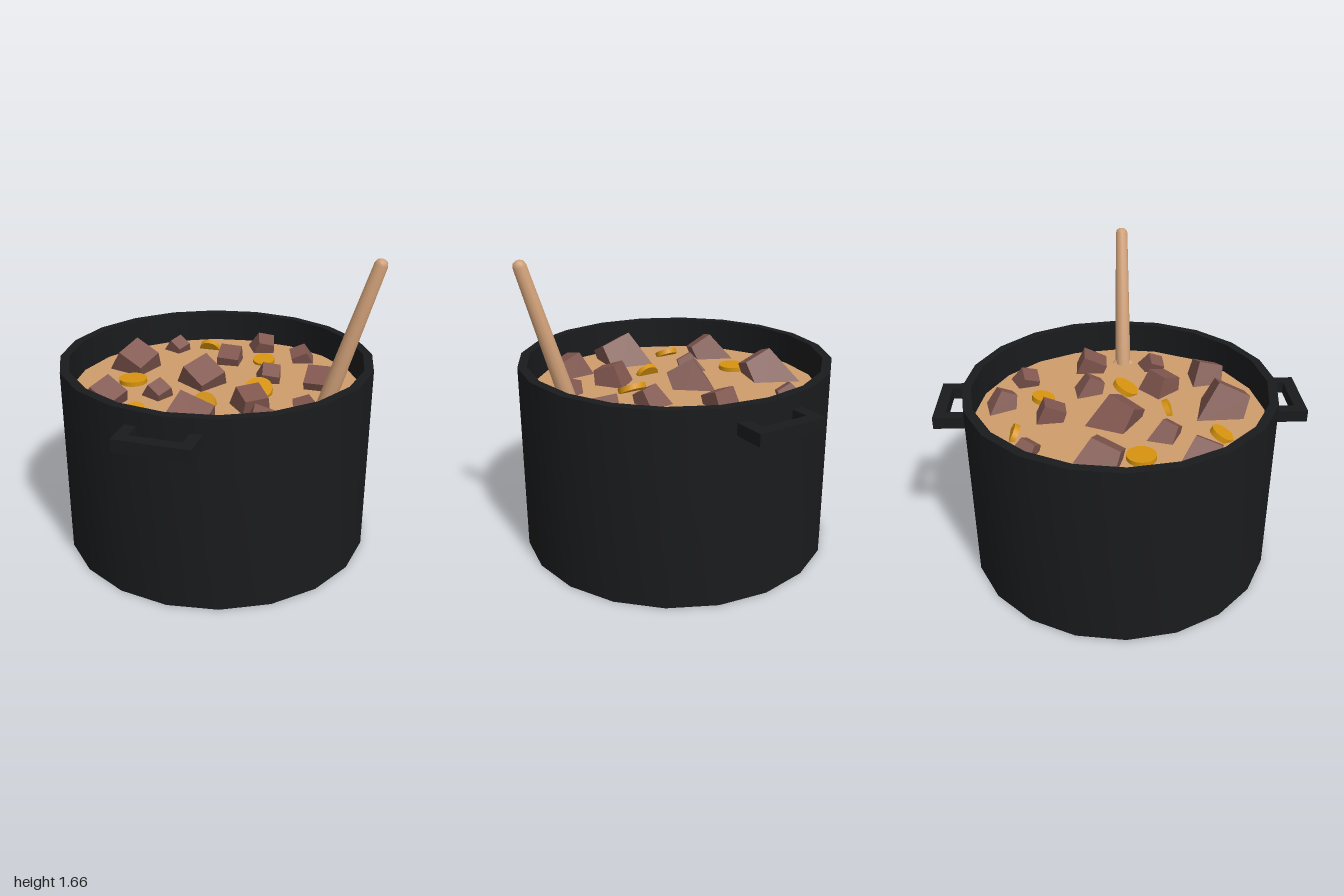
import * as THREE from 'three';
import { toCreasedNormals } from 'three/addons/utils/BufferGeometryUtils.js';

const material = (color, flatShading = false) => new THREE.MeshStandardMaterial({ color, flatShading });
const IRON = material(0x1a1b1d);
const SOUP = material(0xcf9d6b);
const WOOD = material(0xd0a078);
const MEAT = material(0x80564e, true);
const CARROT = material(0xd6930f);

const CENTER_X = -0.022;
const SOUP_Y = 0.87;

function add(parent, name, geometry, mat, x = 0, y = 0, z = 0) {
  const mesh = new THREE.Mesh(geometry, mat);
  mesh.name = name;
  mesh.position.set(x, y, z);
  parent.add(mesh);
  return mesh;
}

const lathe = (points, segments, crease) =>
  toCreasedNormals(new THREE.LatheGeometry(points.map(([r, y]) => new THREE.Vector2(r, y)), segments), crease);

// U-shaped grip, extruded vertically
function handleGeometry() {
  const shape = new THREE.Shape([
    [-0.195, 0.83], [-0.132, 0.83], [-0.132, 0.937], [0.132, 0.937],
    [0.132, 0.83], [0.195, 0.83], [0.195, 1], [-0.195, 1],
  ].map(([x, z]) => new THREE.Vector2(x, z)));
  return new THREE.ExtrudeGeometry(shape, { depth: 0.065, bevelEnabled: false }).rotateX(Math.PI / 2);
}

// Tapered block of unit height with a square footprint
function chunkGeometry(size, taper) {
  return new THREE.CylinderGeometry(size * taper * Math.SQRT1_2, size * Math.SQRT1_2, size, 4)
    .rotateY(Math.PI / 4);
}

export function createModel() {
  const model = new THREE.Group();
  model.name = 'stewPot';

  // Pot wall, rim and floor
  add(model, 'pot', lathe([
    [0, 0], [0.862, 0], [0.862, 1.05], [0.812, 1.05], [0.812, 0.05], [0, 0.05],
  ], 20, 0.6), IRON, CENTER_X);

  // Handles at the front and back
  for (const [name, turn] of [['frontHandle', 0], ['backHandle', Math.PI]]) {
    add(model, name, handleGeometry(), IRON, CENTER_X, 0.97).rotation.y = turn;
  }

  // Soup surface
  add(model, 'soup', new THREE.CircleGeometry(0.816, 20).rotateX(-Math.PI / 2), SOUP, CENTER_X, SOUP_Y);

  // Wooden spoon leaning on the rim, its bowl under the soup
  const spoon = new THREE.Group();
  spoon.name = 'spoon';
  spoon.position.set(0.605, SOUP_Y, 0.043);
  spoon.rotation.z = -0.299;
  add(spoon, 'spoonHandle', lathe([
    [0, -0.1], [0.046, -0.1], [0.045, 0.1], [0.035, 0.79], [0.028, 0.81], [0.016, 0.818], [0, 0.82],
  ], 12, 1), WOOD);
  add(spoon, 'spoonBowl', new THREE.SphereGeometry(1, 16, 10), WOOD, 0, -0.13).scale.set(0.045, 0.17, 0.1);
  model.add(spoon);

  // Meat chunks: x, z, size, taper, tilt about x, turn about y, tilt about z
  const chunks = [
    [0.08, -0.66, 0.16, 0.6, 0.45, 0.25, -0.35],
    [-0.43, -0.50, 0.13, 0.65, 0.3, -0.5, -0.4],
    [0.35, -0.54, 0.13, 0.75, 0.35, 0.35, 0.3],
    [-0.06, -0.385, 0.14, 0.9, 0.4, 0.06, -0.1],
    [-0.56, -0.13, 0.25, 0.65, 0.35, -0.35, -0.35],
    [-0.11, -0.015, 0.22, 0.75, 0.35, -0.6, -0.3],
    [0.24, -0.165, 0.15, 0.65, 0.5, 0.15, -0.25],
    [0.53, -0.16, 0.148, 1, 0.43, 0, 0],
    [-0.52, 0.40, 0.2, 0.7, 0.25, -0.35, -0.45],
    [-0.28, 0.24, 0.14, 0.65, 0.3, -0.5, -0.35],
    [0.24, 0.245, 0.185, 0.7, 0.4, 0.65, -0.2],
    [0.525, 0.22, 0.12, 0.75, 0.4, 0.25, 0.3],
    [0, 0.58, 0.25, 0.75, 0.4, -0.15, -0.3],
    [0.37, 0.525, 0.18, 0.8, 0.25, 0.1, -0.35],
  ];
  for (const [x, z, size, taper, rx, ry, rz] of chunks) {
    add(model, 'meatChunk', chunkGeometry(size, taper), MEAT, x, SOUP_Y + 0.01, z).rotation.set(rx, ry, rz);
  }

  // Carrot slices: x, z, radius, height above soup, tilt about x
  const slices = [
    [-0.245, -0.58, 0.065, 0, -1.1],
    [0.14, -0.435, 0.064, 0.012, 0.2],
    [-0.49, 0.09, 0.079, 0.01, 0],
    [0.23, 0.045, 0.079, 0.02, 0.5],
    [-0.005, 0.275, 0.065, 0, 1.1],
    [-0.30, 0.53, 0.067, 0.015, 0.5],
  ];
  for (const [x, z, radius, lift, tilt] of slices) {
    const disc = toCreasedNormals(new THREE.CylinderGeometry(radius, radius, 0.03, 20), 0.6);
    add(model, 'carrotSlice', disc, CARROT, x, SOUP_Y + lift, z).rotation.x = tilt;
  }

  return model;
}
